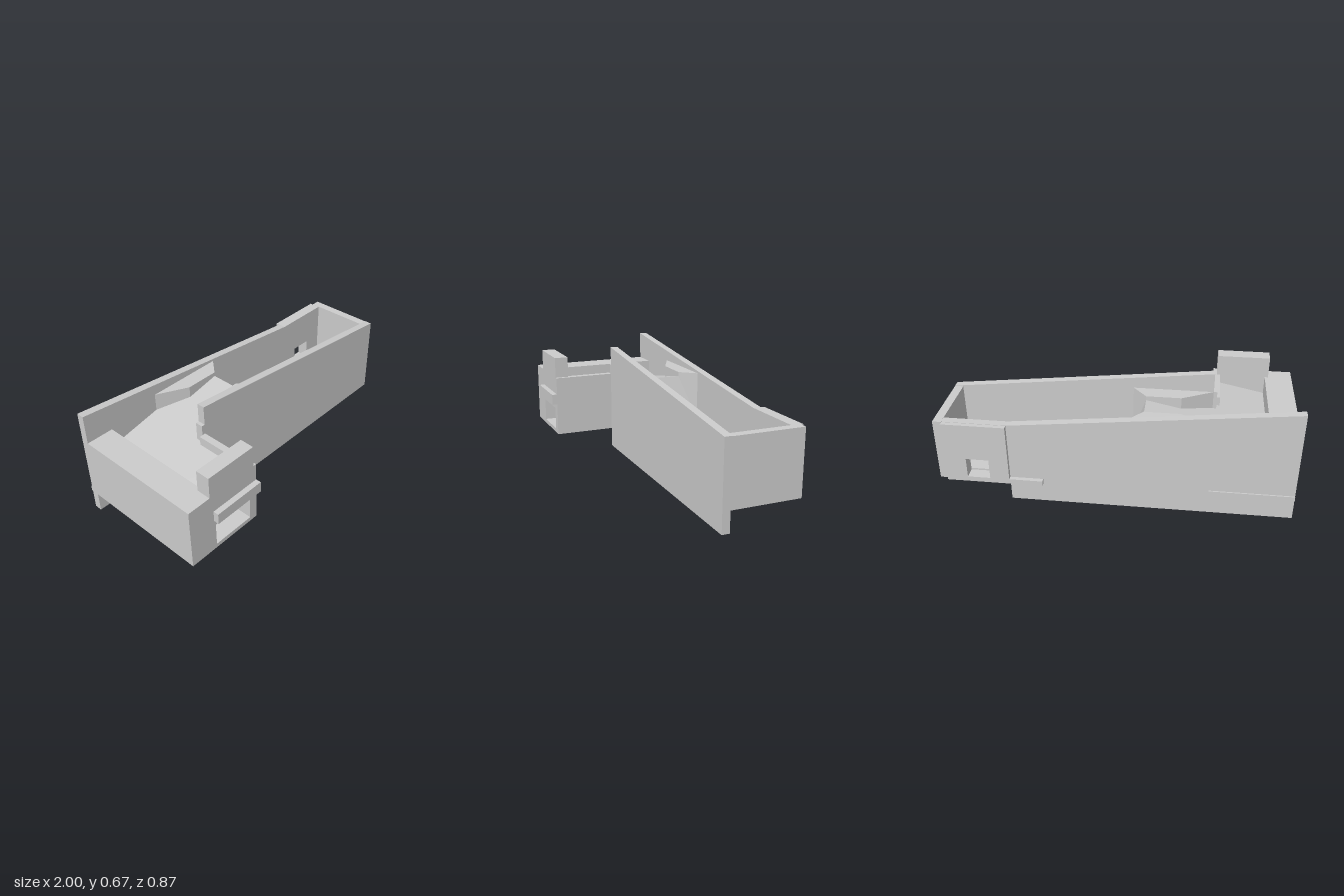
import * as THREE from 'three';

const material = new THREE.MeshStandardMaterial({ color: 0xcccccc, flatShading: true });

export function createModel() {
  const model = new THREE.Group();

  const add = (name, geometry) => {
    const mesh = new THREE.Mesh(geometry, material);
    mesh.name = name;
    model.add(mesh);
  };

  // Box given by its limits on each axis
  const box = (name, x0, x1, y0, y1, z0, z1) => {
    const g = new THREE.BoxGeometry(x1 - x0, y1 - y0, z1 - z0);
    g.translate((x0 + x1) / 2, (y0 + y1) / 2, (z0 + z1) / 2);
    add(name, g);
  };

  const points = (list) => list.map(([a, b]) => new THREE.Vector2(a, b));

  // Side profile (x, y) swept from z0 to z1, with an optional hole
  const slab = (name, profile, z0, z1, hole) => {
    const shape = new THREE.Shape(points(profile));
    if (hole) shape.holes.push(new THREE.Path(points(hole)));
    const g = new THREE.ExtrudeGeometry(shape, { depth: z1 - z0, bevelEnabled: false });
    g.translate(0, 0, z0);
    add(name, g);
  };

  // Plan outline (x, z) swept from y0 to y1
  const column = (name, plan, y0, y1) => {
    const shape = new THREE.Shape(points(plan.map(([x, z]) => [x, -z])));
    const g = new THREE.ExtrudeGeometry(shape, { depth: y1 - y0, bevelEnabled: false });
    g.rotateX(-Math.PI / 2);
    g.translate(0, y0, 0);
    add(name, g);
  };

  const rect = (x0, x1, y0, y1) => [[x0, y0], [x1, y0], [x1, y1], [x0, y1]];

  // Long side walls with sloping tops
  const window = rect(0.7, 0.83, 0.15, 0.27);
  slab('frontWall', [[-0.53, 0], [1, 0], [1, 0.495], [-0.53, 0.665]], -0.01, 0.035);
  slab('backWall', [[-1, 0], [0.59, 0], [0.59, 0.12], [1, 0.12], [1, 0.492], [0.59, 0.492], [-1, 0.665]],
    -0.41, -0.365, window);
  box('endWall', 0.95, 1, 0.12, 0.493, -0.415, 0);
  box('wallEndTab', -0.55, -0.53, 0.12, 0.55, -0.01, 0.035);

  // Raised pad and catch strips on the back
  slab('backPad', rect(0.59, 0.95, 0.12, 0.49), -0.435, -0.41, window);
  box('padStrip', 0.4, 0.59, 0.12, 0.15, -0.435, -0.41);
  box('cornerStrip', -1, -0.53, 0.12, 0.15, -0.418, -0.41);

  // Channel floor: entry ramp, steep drop, deep pocket and raised far floor
  slab('channelFloor', [
    [-0.53, 0.12], [-0.05, 0.12], [-0.05, 0], [0.38, 0], [0.38, 0.12], [0.95, 0.12],
    [0.95, 0.16], [0.34, 0.16], [0.34, 0.04], [0, 0.04], [-0.15, 0.525], [-0.53, 0.445],
  ], -0.365, -0.01);

  // Mirrored guides that narrow the channel
  const mid = -0.1875;
  for (const side of [-1, 1]) {
    const plan = [[-0.53, 0.178], [-0.35, 0.085], [-0.15, 0.085], [-0.07, 0.178]]
      .map(([x, d]) => [x, mid + side * d]);
    column('channelGuide', plan, 0.12, 0.55);
  }

  // Side arm: trough profile, with a socket running in from its front
  const arm = [[-1, 0.12], [-0.53, 0.12], [-0.53, 0.445], [-0.84, 0.38], [-0.84, 0.49], [-1, 0.49]];
  const socket = rect(-0.83, -0.58, 0.145, 0.285);
  slab('armBack', arm, -0.365, 0.1);
  slab('armFront', arm, 0.1, 0.32, socket);
  box('armRim', -0.57, -0.53, 0.4, 0.49, 0.035, 0.32);

  // Front block with upright tab, socket mouth and ridge
  slab('frontBlock', [
    [-1, 0.12], [-0.53, 0.12], [-0.53, 0.49], [-0.55, 0.49], [-0.55, 0.617],
    [-0.86, 0.617], [-0.86, 0.49], [-1, 0.49],
  ], 0.32, 0.403, socket);
  box('frontRidge', -0.84, -0.53, 0.32, 0.385, 0.4, 0.435);

  return model;
}
